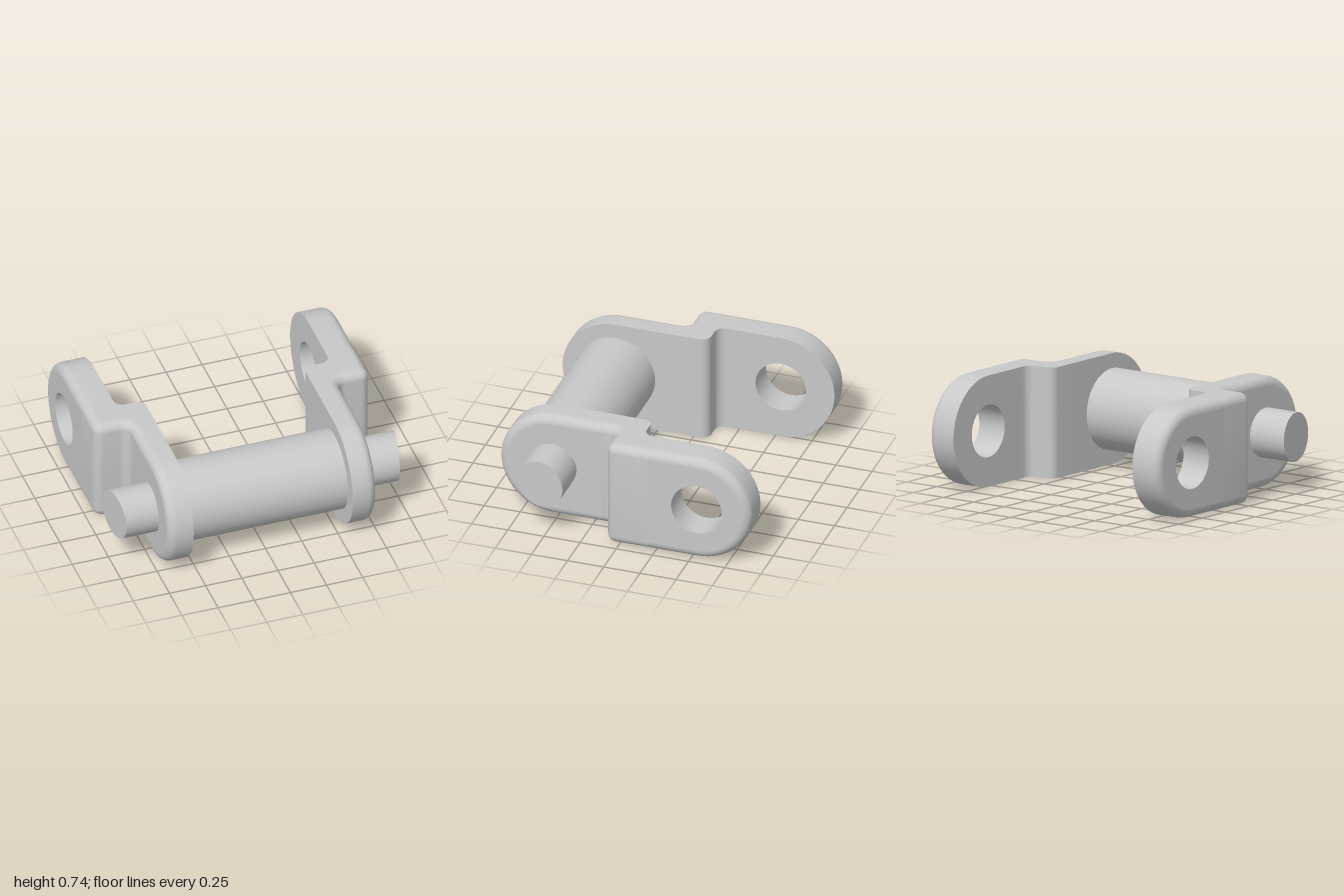
import * as THREE from 'three';
import { toCreasedNormals } from 'three/addons/utils/BufferGeometryUtils.js';

const R = 0.37;        // half height of the plates, also their end radius
const ZC = 0.537;      // distance of the end centres from the middle
const EDGE = 0.06;     // rounding of the outer edges and of the step
const ZF = 0.2, ZR = -0.2; // where the step meets the front and rear tabs
const FRONT = [0.55, 0.72], REAR = [0.74, 0.95]; // inner and outer x of the tabs

const steel = new THREE.MeshStandardMaterial({ color: 0xc8c8c8 });
steel.name = 'steel';

// Surface through rows of points
function loft(rows) {
  const n = rows[0].length, index = [];
  for (let i = 0; i < rows.length - 1; i++) {
    for (let j = 0; j < n - 1; j++) {
      const a = i * n + j, b = a + n;
      index.push(a, b, a + 1, b, b + 1, a + 1);
    }
  }
  const geo = new THREE.BufferGeometry();
  geo.setAttribute('position', new THREE.Float32BufferAttribute(rows.flat(2), 3));
  geo.setIndex(index);
  return geo;
}

// Mesh with sharp creases, mirrored to the right when side is -1
function part(name, source, side) {
  const geo = source.index ? source.toNonIndexed() : source;
  if (side < 0) {
    geo.scale(-1, 1, 1);
    const p = geo.attributes.position;
    for (let i = 0; i < p.count; i += 3) {
      const b = [p.getX(i + 1), p.getY(i + 1), p.getZ(i + 1)];
      p.setXYZ(i + 1, p.getX(i + 2), p.getY(i + 2), p.getZ(i + 2));
      p.setXYZ(i + 2, ...b);
    }
  }
  geo.computeVertexNormals();
  const mesh = new THREE.Mesh(toCreasedNormals(geo, 0.6), steel);
  mesh.name = name;
  return mesh;
}

const quarter = (steps) => Array.from({ length: steps + 1 }, (_, i) => (i / steps) * Math.PI / 2);

// Round-ended tab: flat core with an optional hole, plus a rim rounded on the outside
function tab(name, [xi, xo], dir, zs, hole, side) {
  const outline = (d) => {
    const r = R - d, pts = [[zs, dir * r]];
    for (let i = 0; i <= 32; i++) {
      const t = Math.PI * (0.5 - i / 32);
      pts.push([dir * (ZC + r * Math.cos(t)), dir * r * Math.sin(t)]);
    }
    pts.push([zs, -dir * r]);
    return pts;
  };
  const shape = new THREE.Shape(outline(EDGE).map(([z, y]) => new THREE.Vector2(-z, y)));
  if (hole) shape.holes.push(new THREE.Path().absarc(-dir * ZC, 0, hole, 0, Math.PI * 2, true));
  const core = new THREE.ExtrudeGeometry(shape, { depth: xo - xi, bevelEnabled: false, curveSegments: 40 });
  core.rotateY(Math.PI / 2).translate(xi, 0, 0);

  // Rim section as pairs of x and inset
  const section = [[xi, EDGE], [xi, 0]];
  for (const a of quarter(8)) section.push([xo - EDGE + EDGE * Math.sin(a), EDGE * (1 - Math.cos(a))]);
  const loops = section.map(([x, d]) => outline(d).map(([z, y]) => [x, y, z]));
  const rim = loft(loops[0].map((_, i) => loops.map((loop) => loop[i])));

  const group = new THREE.Group();
  group.name = name;
  group.add(part(name + 'Core', core, side), part(name + 'Rim', rim, side));
  return group;
}

// Step that joins the two tabs of a plate
function step(side) {
  const arc = quarter(8);
  const zOut = 0.09, zIn = -0.1;

  // Outer path from front to back: z, x and the normal
  const outer = [[ZF, FRONT[1], 0, 1]];
  for (const a of arc) {
    const s = Math.sin(a), c = Math.cos(a);
    outer.push([zOut + EDGE - EDGE * s, FRONT[1] + EDGE - EDGE * c, s, c]);
  }
  for (const a of [...arc].reverse()) {
    const s = Math.sin(a), c = Math.cos(a);
    outer.push([zOut - EDGE + EDGE * s, REAR[1] - EDGE + EDGE * c, s, c]);
  }
  outer.push([ZR, REAR[1], 0, 1]);

  // Inner path from front to back
  const inner = [[ZF, FRONT[0]]];
  for (const a of arc) {
    inner.push([zIn + EDGE - EDGE * Math.sin(a), FRONT[0] + EDGE - EDGE * Math.cos(a)]);
  }
  for (const a of [...arc].reverse()) {
    inner.push([zIn - EDGE + EDGE * Math.sin(a), REAR[0] - EDGE + EDGE * Math.cos(a)]);
  }
  inner.push([ZR, REAR[0]]);

  // Core between the inner path and the inset outer path
  const inset = outer.map(([z, x, nz, nx]) => [z - nz * EDGE, x - nx * EDGE])
    .filter((p, i, all) => !i || Math.hypot(p[0] - all[i - 1][0], p[1] - all[i - 1][1]) > 1e-5);
  const points = [...inner, ...inset.reverse()].map(([z, x]) => new THREE.Vector2(x, -z));
  const core = new THREE.ExtrudeGeometry(new THREE.Shape(points), { depth: 2 * R, bevelEnabled: false });
  core.rotateX(-Math.PI / 2).translate(0, -R, 0);

  // Outer skin with rounded lower and upper edges
  const lower = arc.map((a) => [EDGE * (1 - Math.sin(a)), -R + EDGE * (1 - Math.cos(a))]);
  const section = [...lower, ...[...lower].reverse().map(([e, y]) => [e, -y])];
  const skin = loft(outer.map(([z, x, nz, nx]) => section.map(([e, y]) => [x - nx * e, y, z - nz * e])));

  const group = new THREE.Group();
  group.name = 'step';
  group.add(part('stepCore', core, side), part('stepSkin', skin, side));
  return group;
}

function sidePlate(name, side) {
  const group = new THREE.Group();
  group.name = name;
  group.add(
    tab('frontTab', FRONT, 1, ZF, 0, side),
    step(side),
    tab('rearTab', REAR, -1, ZR, 0.175, side),
  );
  return group;
}

export function createModel() {
  const model = new THREE.Group();
  model.name = 'chainLink';
  model.add(sidePlate('leftPlate', 1), sidePlate('rightPlate', -1));

  // Barrel between the plates
  const barrel = new THREE.CylinderGeometry(0.27, 0.27, 1.11, 64);
  barrel.rotateZ(Math.PI / 2).translate(0, 0, ZC);
  model.add(part('barrel', barrel, 1));

  // Pin through the front tabs, its ends cut at a slant
  const pin = new THREE.CylinderGeometry(0.165, 0.165, 2, 48);
  pin.rotateZ(Math.PI / 2);
  const p = pin.attributes.position;
  for (let i = 0; i < p.count; i++) {
    p.setX(i, Math.sign(p.getX(i)) * (0.9725 - p.getZ(i) / 6));
  }
  pin.translate(0, 0, ZC);
  model.add(part('pin', pin, 1));

  for (const child of model.children) child.position.y = R;
  return model;
}
